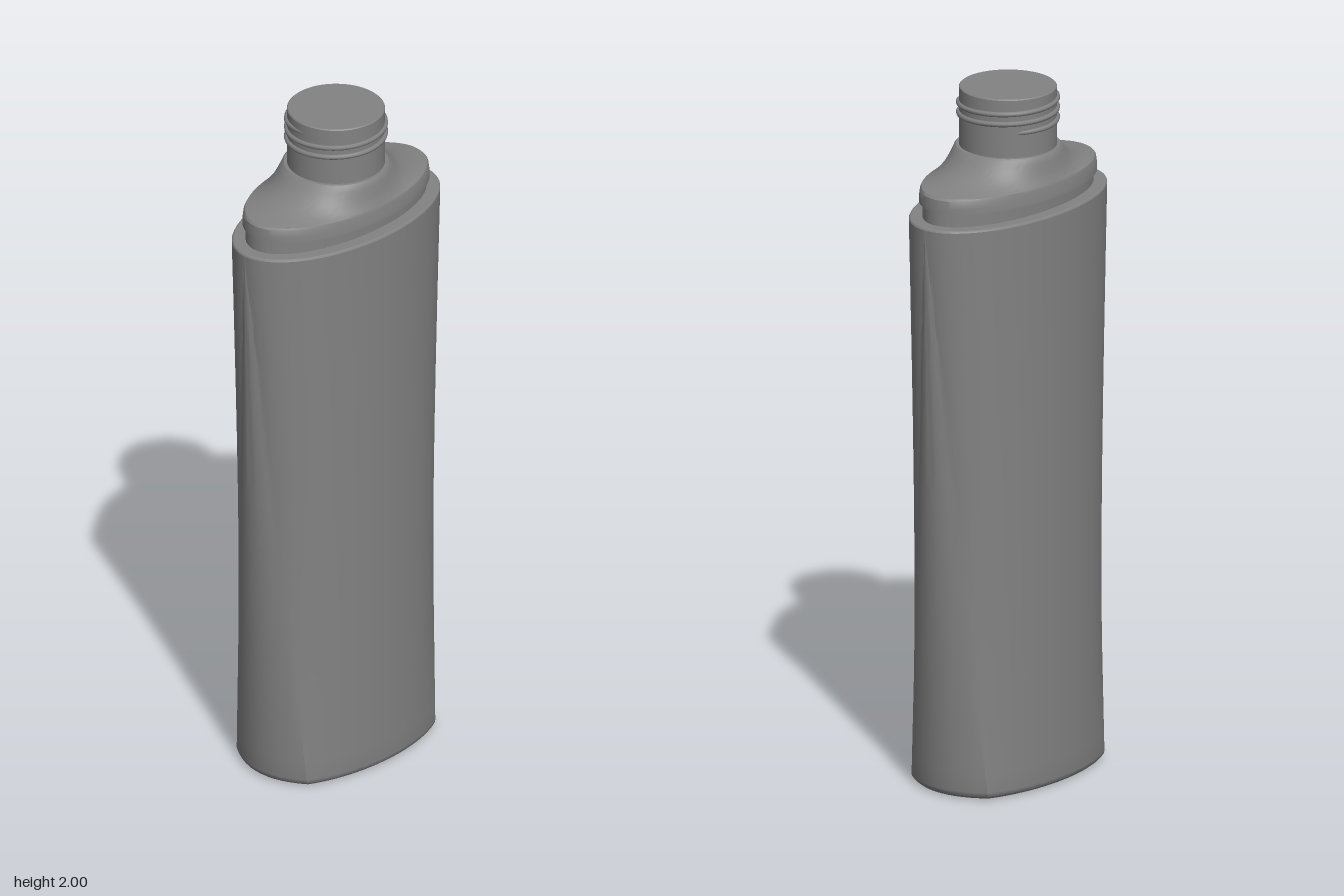
import * as THREE from 'three';
import { toCreasedNormals } from 'three/addons/utils/BufferGeometryUtils.js';

const A = 0.358, B = 0.195, BODY_TOP = 1.67;
const material = new THREE.MeshStandardMaterial({ color: 0x828282 });

function addMesh(group, name, geometry) {
  const mesh = new THREE.Mesh(geometry, material);
  mesh.name = name;
  group.add(mesh);
  return mesh;
}

// Skin a stack of closed rings that all have the same number of points
function loft(rings, crease) {
  const n = rings[0].length, index = [];
  for (let r = 0; r < rings.length - 1; r++) {
    for (let i = 0; i < n; i++) {
      const j = (i + 1) % n;
      const a = r * n + i, b = r * n + j, c = a + n, d = b + n;
      index.push(a, c, b, b, c, d);
    }
  }
  const geometry = new THREE.BufferGeometry();
  geometry.setAttribute('position', new THREE.Float32BufferAttribute(rings.flat(2), 3));
  geometry.setIndex(index);
  return toCreasedNormals(geometry, crease);
}

function ellipseRing(a, b, y, n = 96) {
  return Array.from({ length: n }, (_, i) => {
    const t = (i / n) * Math.PI * 2;
    return [a * Math.cos(t), y, b * Math.sin(t)];
  });
}

// Straight blend from a base with cut-off ends to a full ellipse at the top,
// so each side panel is a tall wedge that narrows to a point
function bodyRing(y, inset = 0, shapeY = y) {
  const t = Math.max(1 - shapeY / 1.66, 0.002);
  const baseAngle = Math.asin(0.14 / B), baseEdge = A * Math.cos(baseAngle);
  const xMid = A + (0.3 - A) * t, xEdge = A + (baseEdge - A) * t, zEdge = 0.14 * t;
  const half = [], M = 12, N = 60;
  for (let i = 0; i < M; i++) {
    const u = -1 + (2 * i) / M;
    half.push([xMid + (xEdge - xMid) * u * u, zEdge * u]);
  }
  for (let i = 0; i < N; i++) {
    const top = Math.PI * (i / N);
    const base = baseAngle + (Math.PI - 2 * baseAngle) * (i / N);
    half.push([
      A * ((1 - t) * Math.cos(top) + t * Math.cos(base)),
      B * ((1 - t) * Math.sin(top) + t * Math.sin(base)),
    ]);
  }
  const sx = 1 - inset / xMid, sz = 1 - inset / B;
  const points = [...half, ...half.map(([x, z]) => [-x, -z])];
  return points.map(([x, z]) => [x * sx, y, z * sz]);
}

function buildBody() {
  const rings = [];
  // Hollowed base, from its centre to the standing rim
  for (const [inset, y] of [[0.194, 0.036], [0.15, 0.034], [0.1, 0.028], [0.065, 0.016], [0.045, 0.004], [0.035, 0]]) {
    rings.push(bodyRing(y, inset, 0));
  }
  // Rounded bottom edge
  const R = 0.022;
  for (let i = 0; i <= 6; i++) {
    const t = (i / 6) * Math.PI / 2;
    rings.push(bodyRing(R * (1 - Math.cos(t)), R * (1 - Math.sin(t))));
  }
  // Walls
  for (let i = 1; i <= 30; i++) {
    rings.push(bodyRing(R + (BODY_TOP - 0.006 - R) * (i / 30)));
  }
  // Softened top edge and flat ledge
  rings.push(bodyRing(BODY_TOP - 0.002, 0.002), bodyRing(BODY_TOP, 0.006), bodyRing(BODY_TOP, 0.055));
  return loft(rings, 0.4);
}

function buildShoulder() {
  // Half width, half depth, height: snap groove, overhanging lip, sweep to the neck
  const profile = [
    [0.318, 0.155, 1.665], [0.318, 0.155, 1.71], [0.32, 0.178, 1.71], [0.32, 0.177, 1.725],
    [0.318, 0.173, 1.745], [0.312, 0.172, 1.751], [0.28, 0.17, 1.755], [0.25, 0.167, 1.761],
    [0.225, 0.164, 1.769], [0.2, 0.16, 1.781], [0.18, 0.157, 1.795], [0.163, 0.153, 1.811],
    [0.15, 0.149, 1.826], [0.145, 0.145, 1.83], [0.13, 0.13, 1.83],
  ];
  return loft(profile.map(([a, b, y]) => ellipseRing(a, b, y)), 0.6);
}

function buildThread() {
  // Right-handed helix whose ends sink into the neck
  const turns = 2.4, steps = 96, points = [];
  for (let i = 0; i <= steps; i++) {
    const u = i / steps, t = -Math.PI / 4 - u * turns * Math.PI * 2;
    const r = 0.128 + 0.009 * Math.min(1, Math.min(u, 1 - u) * 20);
    points.push(new THREE.Vector3(r * Math.cos(t), 1.9 + 0.07 * u, r * Math.sin(t)));
  }
  return new THREE.TubeGeometry(new THREE.CatmullRomCurve3(points), 220, 0.0075, 8);
}

export function createModel() {
  const group = new THREE.Group();
  group.name = 'bottle';

  addMesh(group, 'body', buildBody());
  addMesh(group, 'shoulder', buildShoulder());

  const neckProfile = [[0.136, 1.82], [0.136, 1.997], [0.133, 2], [0, 2]].map(([x, y]) => new THREE.Vector2(x, y));
  addMesh(group, 'neck', toCreasedNormals(new THREE.LatheGeometry(neckProfile, 64), 0.5));
  addMesh(group, 'neckThread', buildThread());

  // Small moulding point under the base
  const nub = addMesh(group, 'baseNub', new THREE.SphereGeometry(0.02, 20, 12));
  nub.scale.y = 0.5;
  nub.position.y = 0.036;

  return group;
}
